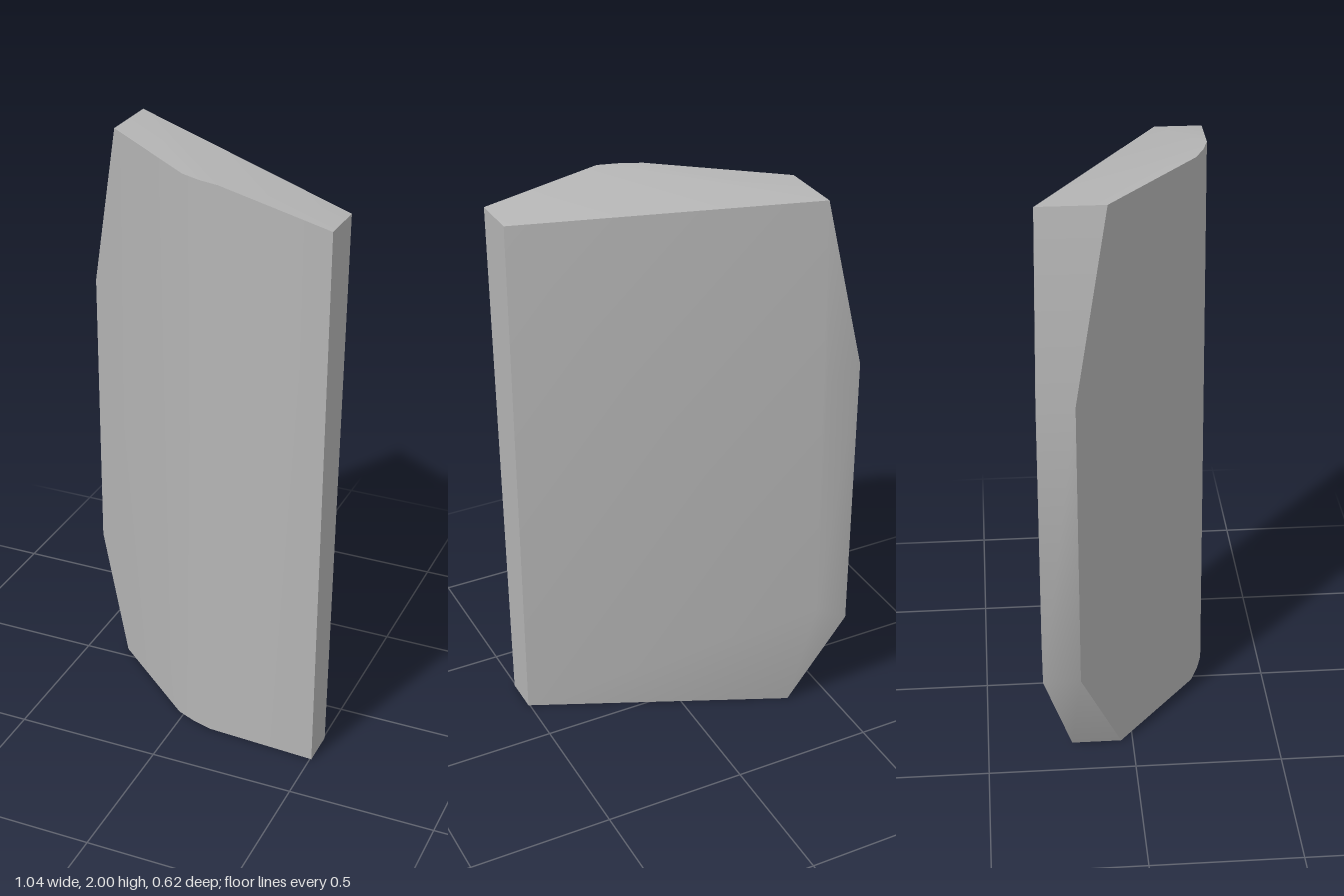
import * as THREE from 'three';
import { toCreasedNormals } from 'three/addons/utils/BufferGeometryUtils.js';
import { ConvexGeometry } from 'three/addons/geometries/ConvexGeometry.js';

export function createModel() {
  const group = new THREE.Group();
  group.name = 'stoneSlab';
  const stone = new THREE.MeshStandardMaterial({ color: 0xb4b4b4 });
  stone.name = 'stoneGrey';

  // Corners [x, y, z] of a bent slab with chamfered ends
  const corners = [
    // top rim, dropping toward the thin right-hand end
    [-0.38, 2, -0.3], [-0.38, 2, -0.08], [0, 2, 0.225], [0.07, 2, 0.256], [0.14, 2, 0.275],
    [0.52, 1.92, 0.302], [0.52, 1.92, 0.14],
    // wide side edge, between its upper and lower chamfers
    [-0.52, 1.4, -0.31], [-0.52, 1.4, -0.19],
    [-0.52, 0.38, -0.31], [-0.52, 0.38, -0.185],
    // shallow bevel along the back
    [-0.4, 1.35, -0.309], [-0.4, 0.45, -0.309],
    // bottom rim
    [-0.355, 0, -0.21], [-0.355, 0, -0.04], [-0.02, 0, 0.24], [0.05, 0, 0.27], [0.12, 0, 0.29],
    [0.505, 0, 0.31], [0.505, 0, 0.18],
  ].map((c) => new THREE.Vector3(...c));

  // Shallow bends are smooth, the rims stay sharp
  const slab = new THREE.Mesh(toCreasedNormals(new ConvexGeometry(corners), 0.5), stone);
  slab.name = 'slab';
  group.add(slab);
  return group;
}
